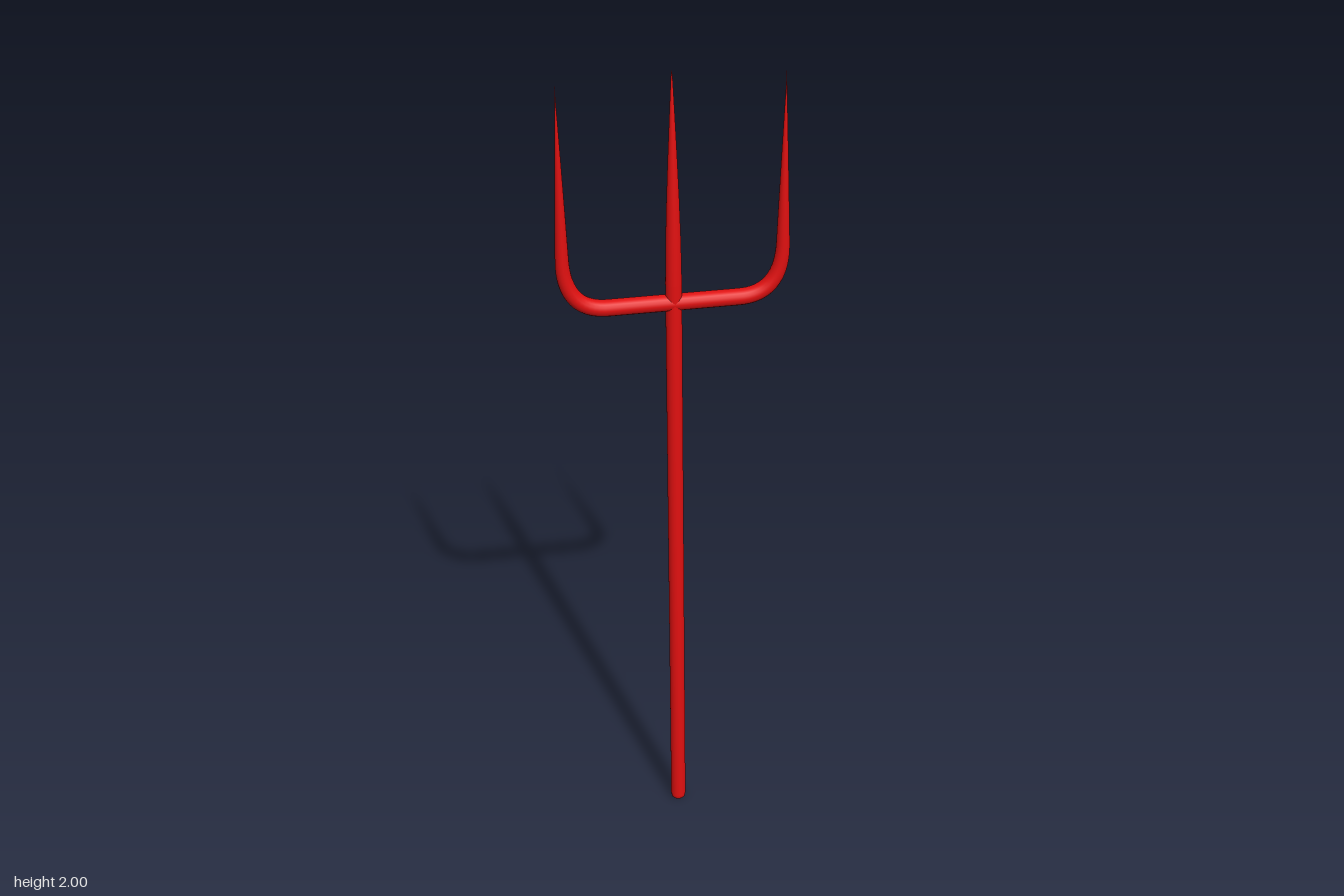
import * as THREE from 'three';

const R = 0.019;

// Tube along a path whose rings are scaled by radiusAt(point)
function taperedTube(path, segments, sides, radiusAt) {
  const geo = new THREE.TubeGeometry(path, segments, 1, sides, false);
  const pos = geo.attributes.position;
  const v = new THREE.Vector3();
  for (let i = 0; i <= segments; i++) {
    const c = path.getPointAt(i / segments);
    const r = radiusAt(c);
    for (let j = 0; j <= sides; j++) {
      const k = i * (sides + 1) + j;
      v.fromBufferAttribute(pos, k).sub(c).multiplyScalar(r).add(c);
      pos.setXYZ(k, v.x, v.y, v.z);
    }
  }
  return geo;
}

export function createModel() {
  const model = new THREE.Group();
  model.name = 'trident';
  const red = new THREE.MeshStandardMaterial({ color: 0xe01010 });
  const add = (name, geo) => {
    const mesh = new THREE.Mesh(geo, red);
    mesh.name = name;
    model.add(mesh);
  };

  // Shaft with a softly rounded butt, up to the crossbar
  const shaft = [[0, 0], [0.013, 0], [0.017, 0.004], [R, 0.014], [R, 0.8], [R, 1.5]];
  add('shaft', new THREE.LatheGeometry(shaft.map(p => new THREE.Vector2(...p)), 20));

  // Centre tine, tapering to a point
  const tine = [[R, 1.5], [0.0175, 1.6], [0.0145, 1.7], [0.0105, 1.8], [0.006, 1.9], [0.002, 1.985], [0, 2]];
  add('centreTine', new THREE.LatheGeometry(tine.map(p => new THREE.Vector2(...p)), 20));

  // Crossbar bending up into the two outer tines, swept as one piece
  const V = (x, y) => new THREE.Vector3(x, y, 0);
  const path = new THREE.CurvePath();
  path.add(new THREE.LineCurve3(V(-0.25, 1.98), V(-0.25, 1.58)));
  path.add(new THREE.QuadraticBezierCurve3(V(-0.25, 1.58), V(-0.25, 1.453), V(-0.15, 1.453)));
  path.add(new THREE.LineCurve3(V(-0.15, 1.453), V(0.15, 1.453)));
  path.add(new THREE.QuadraticBezierCurve3(V(0.15, 1.453), V(0.25, 1.453), V(0.25, 1.58)));
  path.add(new THREE.LineCurve3(V(0.25, 1.58), V(0.25, 1.98)));
  const radiusAt = c => {
    const t = Math.max(0, (c.y - 1.453) / 0.527);
    return Math.max(0.0005, 0.0195 * (1 - Math.pow(t, 1.1)));
  };
  add('crossbarAndOuterTines', taperedTube(path, 120, 16, radiusAt));

  // The whole piece leans very slightly
  model.rotation.set(-0.0131, -0.008, 0.006);
  model.position.set(0.006, 0, 0.009);
  const root = new THREE.Group();
  root.add(model);
  return root;
}
